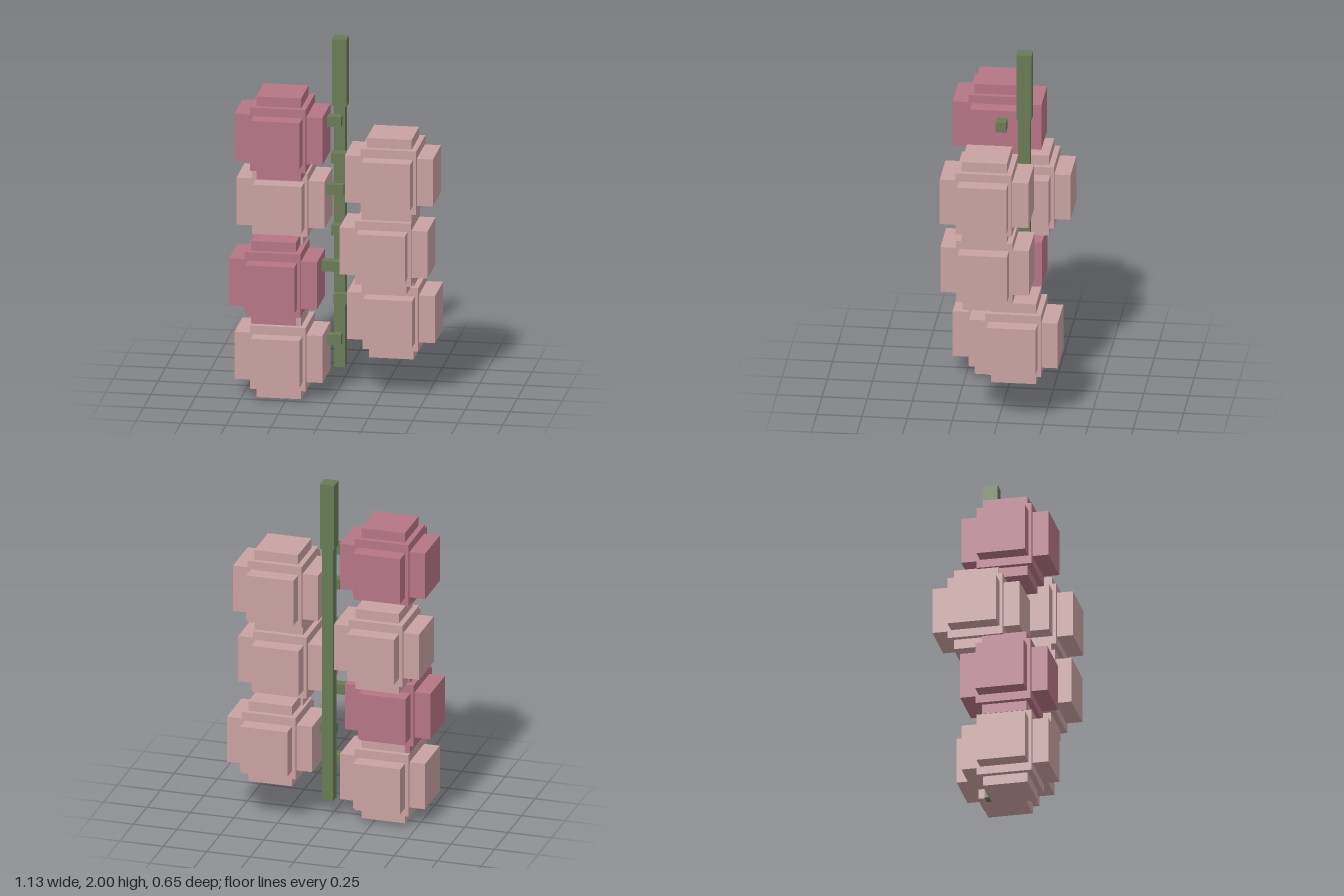
import * as THREE from 'three';

const mat = (name, color) => {
  const m = new THREE.MeshStandardMaterial({ color });
  m.name = name;
  return m;
};

function box(name, material, size, pos) {
  const mesh = new THREE.Mesh(new THREE.BoxGeometry(...size), material);
  mesh.name = name;
  mesh.position.set(...pos);
  return mesh;
}

// A blocky bloom: a core with slabs pushing out along each axis
function createBloom(name, material, pos) {
  const bloom = new THREE.Group();
  bloom.name = name;
  bloom.position.set(...pos);
  bloom.add(
    box('bloomCore', material, [0.31, 0.364, 0.31], [0, 0, 0]),
    box('sidePetals', material, [0.49, 0.27, 0.272], [0, 0, 0]),
    box('frontBackPetals', material, [0.272, 0.266, 0.49], [0, 0, 0]),
    box('topBottomPetals', material, [0.25, 0.476, 0.25], [0, 0, 0])
  );
  return bloom;
}

export function createModel() {
  const green = mat('stemGreen', 0x677b54);
  const pale = mat('palePink', 0xc9a1a1);
  const rose = mat('deepRose', 0xb57585);

  const model = new THREE.Group();
  model.name = 'hangingBlossom';

  // Hanging stem with a thicker upper end
  model.add(
    box('stem', green, [0.062, 1.505, 0.066], [0, 0.867, -0.091]),
    box('stemTop', green, [0.082, 0.385, 0.084], [0, 1.8075, -0.092])
  );

  // Blooms alternate down both sides, each with a short twig
  const blooms = [
    [-0.295, 1.492, 0.08, rose],
    [0.32, 1.284, 0.08, pale],
    [-0.31, 1.076, -0.08, pale],
    [0.29, 0.868, 0.08, pale],
    [-0.325, 0.66, 0.08, rose],
    [0.305, 0.449, -0.08, pale],
    [-0.295, 0.239, 0.08, pale],
  ];
  blooms.forEach(([x, y, z, material], i) => {
    const side = Math.sign(x);
    model.add(createBloom(`bloom${i + 1}`, material, [x, y, z]));
    model.add(box(`twig${i + 1}`, green, [0.17, 0.058, 0.057],
      [side * 0.057, y + 0.068, z > 0 ? 0.037 : -0.047]));
  });

  return model;
}
